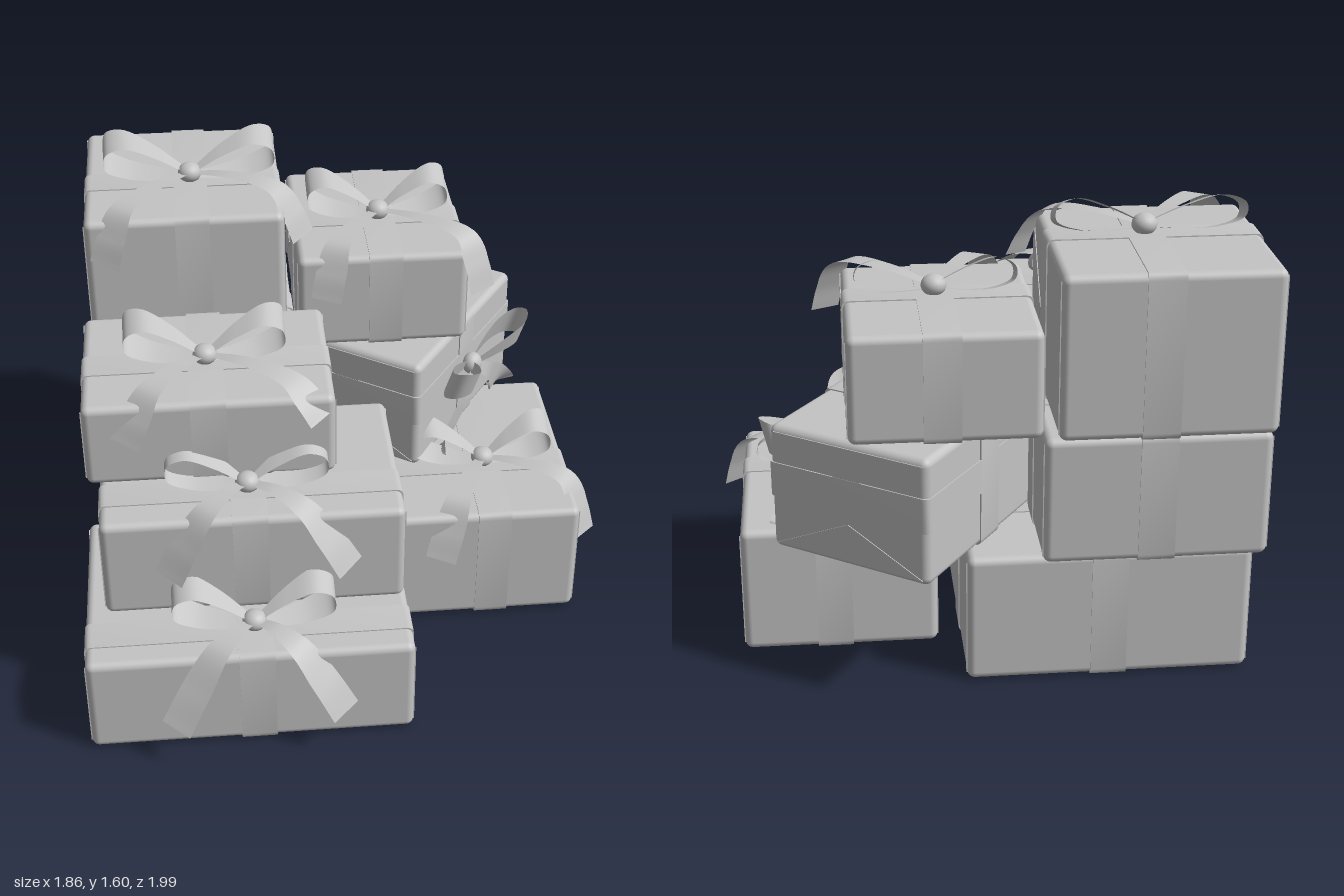
import * as THREE from 'three';
import { RoundedBoxGeometry } from 'three/addons/geometries/RoundedBoxGeometry.js';
import { toCreasedNormals } from 'three/addons/utils/BufferGeometryUtils.js';

const V = (x, y, z) => new THREE.Vector3(x, y, z);
const UP = V(0, 1, 0);

const clay = new THREE.MeshStandardMaterial({ color: 0xc4c4c4, side: THREE.DoubleSide });
clay.name = 'light grey';

function add(parent, name, geometry) {
  const mesh = new THREE.Mesh(geometry, clay);
  mesh.name = name;
  parent.add(mesh);
  return mesh;
}

// Flat strip swept along a curve; sideAt(t, tangent) gives the half-width vector
function strip(points, sideAt, steps = 28) {
  const curve = new THREE.CatmullRomCurve3(points);
  const pos = [], index = [];
  for (let i = 0; i <= steps; i++) {
    const t = i / steps, p = curve.getPoint(t), s = sideAt(t, curve.getTangent(t));
    pos.push(...p.clone().add(s).toArray(), ...p.clone().sub(s).toArray());
    if (i < steps) {
      const a = i * 2;
      index.push(a, a + 1, a + 2, a + 1, a + 3, a + 2);
    }
  }
  const g = new THREE.BufferGeometry();
  g.setAttribute('position', new THREE.Float32BufferAttribute(pos, 3));
  g.setIndex(index);
  g.computeVertexNormals();
  return g;
}

// Bow with two raised loops, a knot and two draped tails
function makeBow(half, tails) {
  const bow = new THREE.Group();
  bow.name = 'bow';
  const knot = add(bow, 'knot', new THREE.SphereGeometry(0.042, 20, 14));
  knot.scale.set(1, 0.85, 1);
  for (const m of [-1, 1]) {
    const path = [[0.05, 0.01, 0], [0.4, 0.07, -0.035], [0.75, 0.108, -0.06], [0.96, 0.085, -0.07],
      [0.97, 0.035, -0.06], [0.72, 0.0, -0.045], [0.36, -0.012, -0.02], [0.05, -0.01, 0]]
      .map(([x, y, z]) => V(m * x * half, y, z));
    add(bow, 'loop', strip(path, (t) =>
      V(0, 0.3, -0.95).multiplyScalar(0.016 + 0.046 * Math.sin(Math.PI * t)), 40));
  }
  // each tail: point where it leaves the lid, then its loose end
  for (const [edge, end] of tails) {
    const e = V(...edge), f = V(...end);
    const out = V(f.x * 0.6, 0, f.z).normalize();
    const bend = e.clone().lerp(f, 0.5).addScaledVector(out, 0.015);
    const path = [V(0, 0, 0), e.clone().multiplyScalar(0.5).add(V(0, 0.02, 0)), e, bend, f];
    add(bow, 'tail', strip(path, (t, tangent) => {
      const normal = UP.clone().lerp(out, Math.max(0, t * 1.6 - 0.6)).normalize();
      return tangent.cross(normal).normalize().multiplyScalar(0.014 + 0.042 * Math.min(1, t * 1.5));
    }));
  }
  return bow;
}

// Flat ribbon wrapped round a box section of a by b
function bandGeometry(a, b, width) {
  const r = 0.025, x = a / 2, y = b / 2, s = new THREE.Shape();
  s.moveTo(-x + r, -y);
  s.lineTo(x - r, -y);
  s.quadraticCurveTo(x, -y, x, -y + r);
  s.lineTo(x, y - r);
  s.quadraticCurveTo(x, y, x - r, y);
  s.lineTo(-x + r, y);
  s.quadraticCurveTo(-x, y, -x, y - r);
  s.lineTo(-x, -y + r);
  s.quadraticCurveTo(-x, -y, -x + r, -y);
  const g = new THREE.ExtrudeGeometry(s, { depth: width, bevelEnabled: false, curveSegments: 4 });
  g.translate(0, 0, -width / 2);
  return toCreasedNormals(g, 0.7);
}

// Gift centred on its own middle, bow on +y, folded paper ends on +x and -x
function makeGift(name, [w, h, d], bow) {
  const gift = new THREE.Group();
  gift.name = name;
  add(gift, 'wrappedBox', new RoundedBoxGeometry(w, h, d, 4, 0.026));
  const [bx, bz] = bow ? bow.at : [0, 0];

  add(gift, 'ribbonAcross', bandGeometry(w + 0.008, h + 0.008, 0.12)).position.z = bz;
  const along = add(gift, 'ribbonAlong', bandGeometry(d + 0.008, h + 0.008, 0.12));
  along.rotation.y = Math.PI / 2;
  along.position.x = bx;

  // triangular paper folds on the two ends
  for (const m of [-1, 1]) for (const n of [-1, 1]) {
    const z = n * (d / 2 - 0.02), y = h / 2 - 0.02;
    const tri = new THREE.Shape([
      new THREE.Vector2(z, y), new THREE.Vector2(z, -y), new THREE.Vector2(z - n * Math.min(0.2, d * 0.3), 0)]);
    const fold = add(gift, 'paperFold', new THREE.ExtrudeGeometry(tri, { depth: 0.006, bevelEnabled: false }));
    fold.rotation.y = -Math.PI / 2;
    fold.position.x = m * w / 2 + 0.003;
  }

  if (bow) {
    const b = makeBow(bow.half, bow.tails);
    b.position.set(bx, h / 2 + 0.03, bz);
    gift.add(b);
  }
  return gift;
}

export function createModel() {
  const root = new THREE.Group();
  root.name = 'giftPile';

  // extents: [xMin, xMax, yMin, yMax, zMin, zMax]; bow centre in plan; tails relative to the knot
  const gifts = [
    { name: 'frontBottomGift', e: [-0.91, 0.19, 0.01, 0.38, 0.10, 0.87], bow: [-0.34, 0.72], half: 0.28,
      tails: [[[-0.13, 0, 0.15], [-0.28, -0.24, 0.25]], [[0.14, 0, 0.15], [0.29, -0.24, 0.22]]] },
    { name: 'frontMiddleGift', e: [-0.84, 0.18, 0.385, 0.76, -0.03, 0.62], bow: [-0.34, 0.45], half: 0.28,
      tails: [[[-0.15, 0, 0.16], [-0.28, -0.22, 0.22]], [[0.18, 0, 0.16], [0.33, -0.22, 0.22]]] },
    { name: 'frontTopGift', e: [-0.88, -0.035, 0.77, 1.08, -0.18, 0.40], bow: [-0.46, 0.14], half: 0.28,
      tails: [[[-0.19, 0.01, 0.22], [-0.28, -0.16, 0.29]], [[0.28, 0.01, 0.2], [0.38, -0.1, 0.28]]] },
    { name: 'backBottomGift', e: [-0.82, 0.12, 0.01, 0.46, -0.81, -0.04] },
    { name: 'backMiddleGift', e: [-0.85, -0.12, 0.465, 0.9, -0.87, -0.19] },
    { name: 'backTopGift', e: [-0.855, -0.16, 0.905, 1.45, -0.9, -0.19], bow: [-0.48, -0.49], half: 0.31,
      tails: [[[-0.24, 0.01, 0.28], [-0.31, -0.17, 0.35]], [[0.3, 0.01, 0.17], [0.39, -0.16, 0.22]]] },
    { name: 'rightBottomGift', e: [0.2, 0.86, 0.01, 0.46, -0.55, 0.3], bow: [0.55, -0.02], half: 0.26,
      tails: [[[-0.13, 0.01, 0.27], [-0.2, -0.19, 0.36]], [[0.28, 0.01, 0.17], [0.35, -0.2, 0.24]]] },
    { name: 'rightTopGift', e: [-0.115, 0.495, 0.905, 1.265, -0.87, -0.19], bow: [0.2, -0.49], half: 0.26,
      tails: [[[-0.17, 0.01, 0.27], [-0.22, -0.17, 0.35]], [[0.29, 0.01, 0.24], [0.35, -0.18, 0.31]]] },
  ];
  for (const { name, e, bow, half, tails } of gifts) {
    const cx = (e[0] + e[1]) / 2, cy = (e[2] + e[3]) / 2, cz = (e[4] + e[5]) / 2;
    const gift = makeGift(name, [e[1] - e[0], e[3] - e[2], e[5] - e[4]],
      bow && { at: [bow[0] - cx, bow[1] - cz], half, tails });
    gift.position.set(cx, cy, cz);
    root.add(gift);
  }

  // turned gift lying on its side, its bow facing outwards
  const turned = makeGift('turnedGift', [0.785, 0.59, 0.435], {
    at: [0, -0.03], half: 0.27,
    tails: [[[-0.17, 0.02, 0.14], [-0.28, 0.0, 0.24]], [[0.17, 0.02, 0.14], [0.28, 0.0, 0.24]]],
  });
  const a = Math.cos(0.6), b = Math.sin(0.6);
  turned.quaternion.setFromRotationMatrix(
    new THREE.Matrix4().makeBasis(V(b, 0, -a), V(a, 0, b), V(0, -1, 0)));
  turned.position.set(0.28, 0.683, -0.5);
  root.add(turned);

  return root;
}
